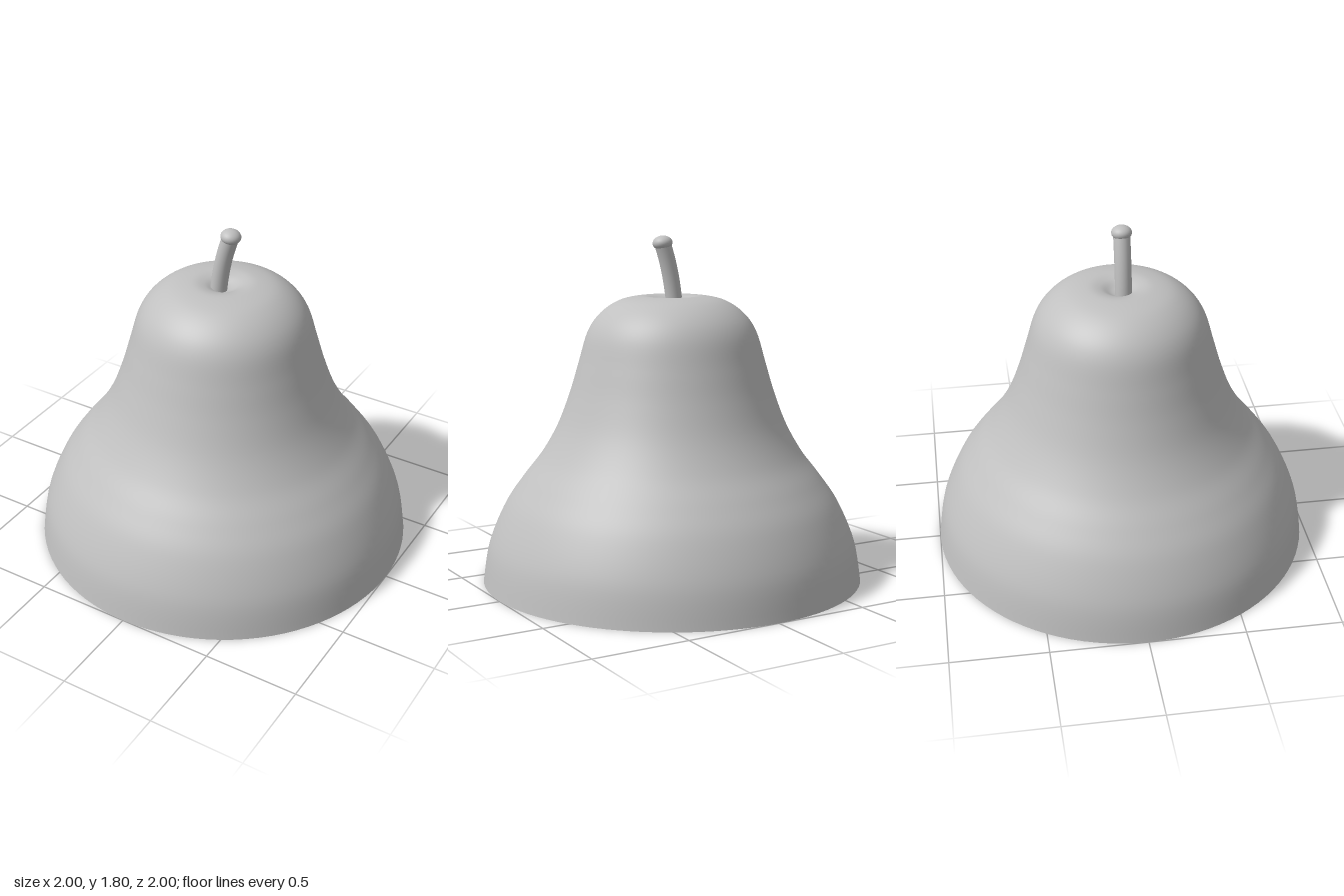
import * as THREE from 'three';

const SEGMENTS = 96;

// Smooth lathe through a few [radius, height] points
function lathe(name, points, samples, material) {
  const curve = new THREE.SplineCurve(points.map(([r, y]) => new THREE.Vector2(r, y)));
  const profile = curve.getPoints(samples);
  profile.forEach((p) => { p.x = Math.max(p.x, 0); });
  const mesh = new THREE.Mesh(new THREE.LatheGeometry(profile, SEGMENTS), material);
  mesh.name = name;
  return mesh;
}

export function createModel() {
  const group = new THREE.Group();
  group.name = 'pearBell';
  const grey = new THREE.MeshStandardMaterial({ color: 0xc0c0c0 });
  grey.name = 'light grey';

  // Pear-shaped outer skin with a shallow dimple at the top
  const outer = [
    [1, 0], [0.965, 0.2], [0.88, 0.4], [0.785, 0.54], [0.685, 0.67], [0.6, 0.82],
    [0.535, 0.99], [0.487, 1.15], [0.44, 1.305], [0.375, 1.4], [0.28, 1.465],
    [0.17, 1.49], [0.1, 1.482], [0.045, 1.455], [0, 1.445],
  ];
  group.add(lathe('outerSkin', outer, 84, grey));

  // Hollow inside, running from the crown down to the rim
  const inner = [
    [0, 1.405], [0.06, 1.425], [0.16, 1.45], [0.26, 1.428], [0.345, 1.375], [0.402, 1.292],
    [0.448, 1.14], [0.497, 0.975], [0.565, 0.8], [0.65, 0.65],
    [0.75, 0.515], [0.843, 0.38], [0.925, 0.19], [0.96, 0],
  ];
  group.add(lathe('innerSkin', inner, 70, grey));

  // Flat rim facing down
  const rim = new THREE.Mesh(new THREE.RingGeometry(0.96, 1, SEGMENTS), grey);
  rim.rotation.x = Math.PI / 2;
  rim.name = 'rim';
  group.add(rim);

  // Bent stem
  const path = new THREE.QuadraticBezierCurve3(
    new THREE.Vector3(-0.025, 1.42, 0.015),
    new THREE.Vector3(-0.01, 1.6, 0.015),
    new THREE.Vector3(0.046, 1.755, 0.015),
  );
  const stem = new THREE.Mesh(new THREE.TubeGeometry(path, 20, 0.043, 24), grey);
  stem.name = 'stem';
  group.add(stem);

  // Rounded knob closing the stem
  const knob = new THREE.Mesh(new THREE.SphereGeometry(0.052, 28, 18), grey);
  knob.scale.y = 0.72;
  knob.position.set(0.048, 1.764, 0.015);
  knob.rotation.z = -0.12;
  knob.name = 'stemKnob';
  group.add(knob);

  return group;
}
